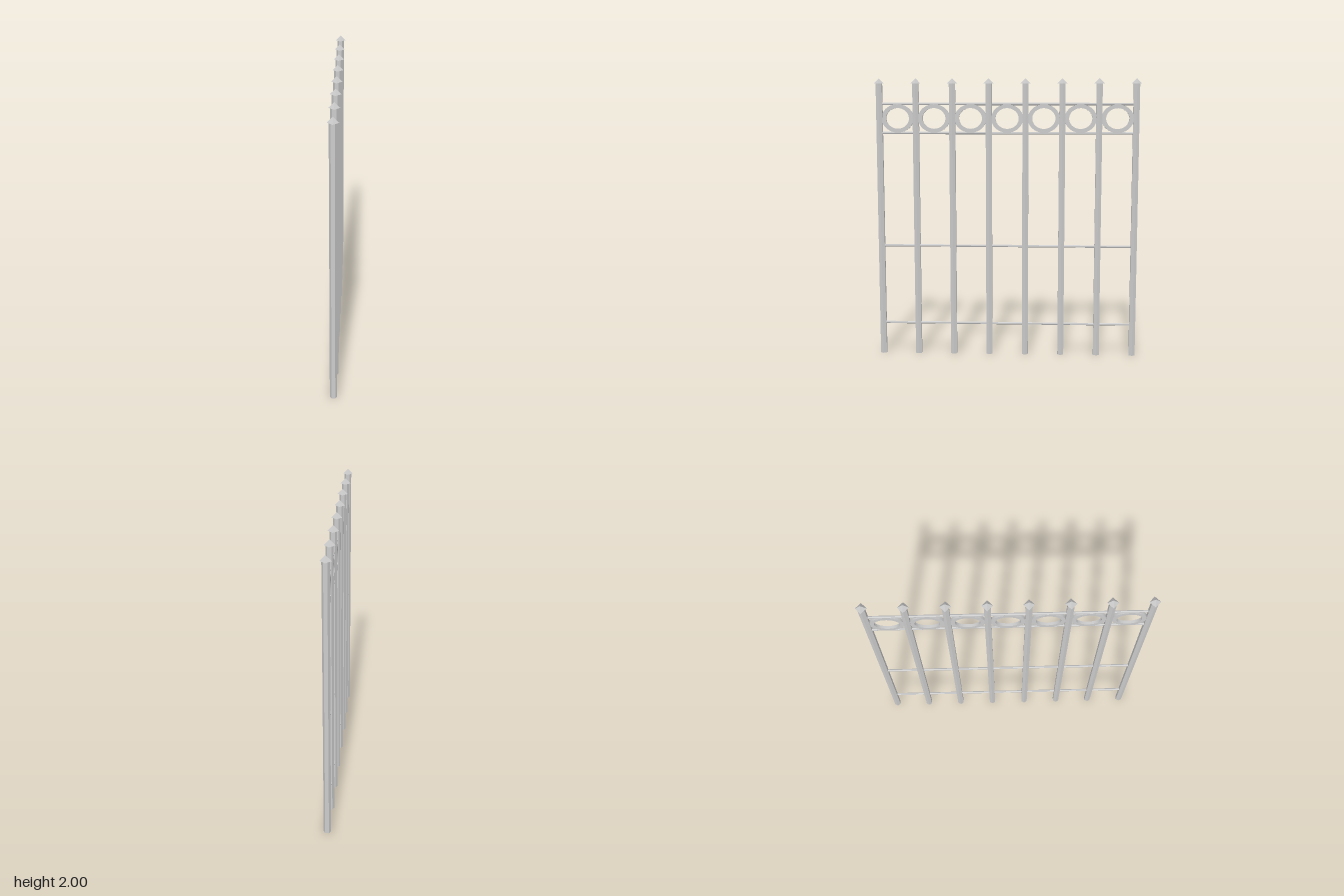
import * as THREE from 'three';

const POSTS = 8;
const SPACING = 0.26;
const HALF = (POSTS - 1) * SPACING / 2;

export function createModel() {
  const fence = new THREE.Group();
  fence.name = 'fence';
  const metal = new THREE.MeshStandardMaterial({ color: 0xcccccc, flatShading: true });

  const add = (name, geometry, y, z) => {
    const mesh = new THREE.Mesh(geometry, metal);
    mesh.name = name;
    mesh.position.set(0, y, z);
    fence.add(mesh);
  };

  // Hexagonal posts with an edge towards +x, and four-sided pointed caps
  const postGeo = new THREE.CylinderGeometry(0.025, 0.025, 1.966, 6, 1, false, Math.PI / 6);
  const capGeo = new THREE.ConeGeometry(0.037, 0.037, 4);
  for (let i = 0; i < POSTS; i++) {
    const z = -HALF + i * SPACING;
    add('post', postGeo, 0.983, z);
    add('postCap', capGeo, 1.9815, z);
  }

  // Horizontal rails
  const railGeo = new THREE.CylinderGeometry(0.009, 0.009, HALF * 2, 6).rotateX(Math.PI / 2);
  for (const y of [0.228, 0.802, 1.615, 1.82]) add('rail', railGeo, y, 0);

  // Flat oval rings between the two upper rails
  const oval = new THREE.Shape().absellipse(0, 0, 0.113, 0.1, 0, Math.PI * 2);
  oval.holes.push(new THREE.Path().absellipse(0, 0, 0.082, 0.073, 0, Math.PI * 2, true));
  const depth = 0.02;
  const ringGeo = new THREE.ExtrudeGeometry(oval, { depth, bevelEnabled: false, curveSegments: 32 })
    .translate(0, 0, -depth / 2)
    .rotateY(Math.PI / 2);
  for (let i = 0; i < POSTS - 1; i++) add('ring', ringGeo, 1.718, -HALF + (i + 0.5) * SPACING);

  return fence;
}
